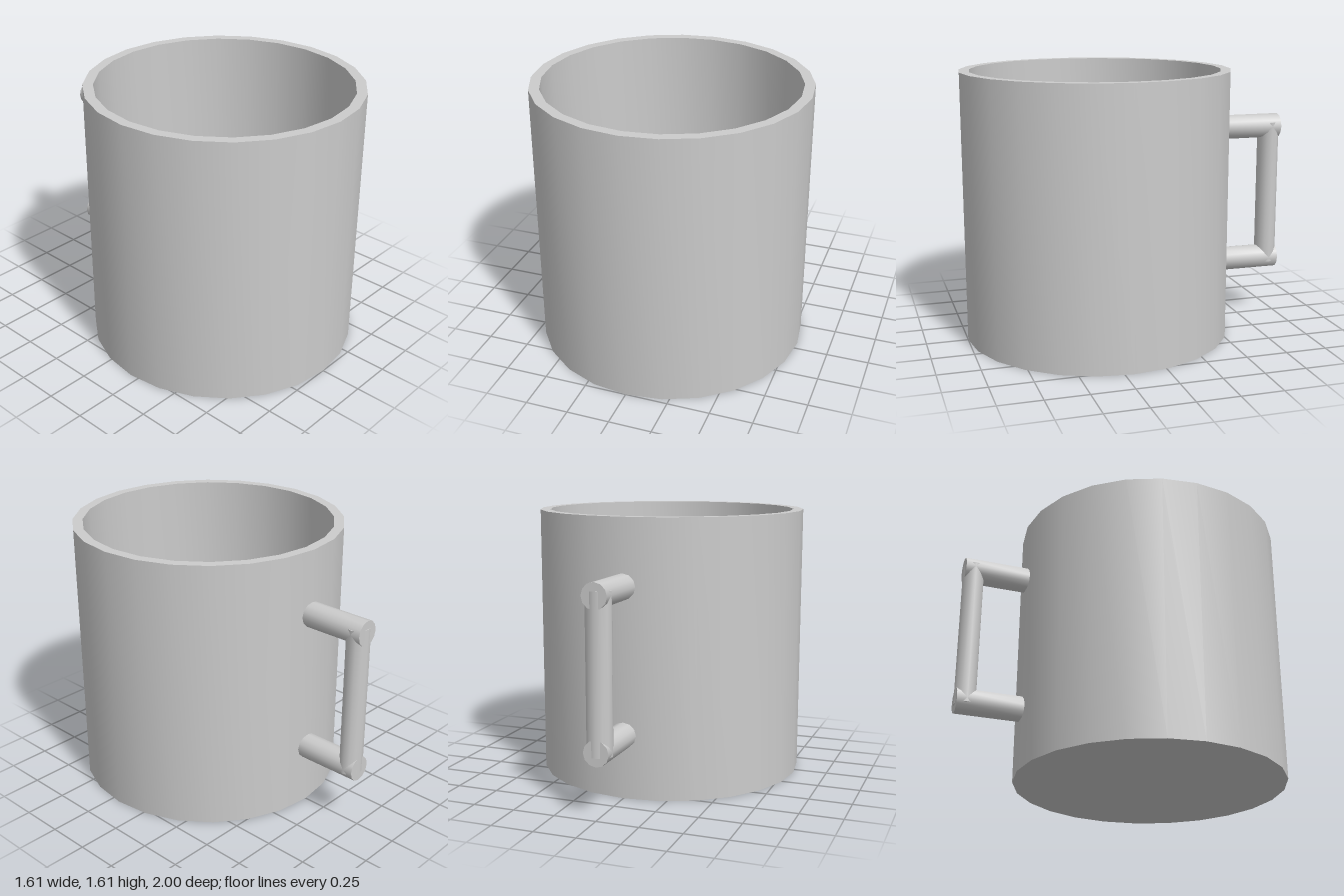
import * as THREE from 'three';
import { toCreasedNormals } from 'three/addons/utils/BufferGeometryUtils.js';

const RADIUS = 0.805, INNER = 0.745, HEIGHT = 1.61, FLOOR = 0.08;
const CENTRE_Z = 0.195;
const BAR = 0.075;

export function createModel() {
  const group = new THREE.Group();
  const material = new THREE.MeshStandardMaterial({ color: 0xcccccc });

  function add(name, geometry, x, y, z) {
    const mesh = new THREE.Mesh(toCreasedNormals(geometry, 0.8), material);
    mesh.name = name;
    mesh.position.set(x, y, z);
    group.add(mesh);
    return mesh;
  }

  // Cup: base, outer wall, flat rim, inner wall and floor in one profile
  const profile = [
    [0, 0], [RADIUS, 0], [RADIUS, HEIGHT],
    [INNER, HEIGHT], [INNER, FLOOR], [0, FLOOR],
  ].map(([r, y]) => new THREE.Vector2(r, y));
  add('cup', new THREE.LatheGeometry(profile, 24), 0, 0, CENTRE_Z);

  // Handle: two horizontal bars running from inside the wall to the grip
  const zFront = -0.57, zBack = -0.99;
  for (const [name, y] of [['handleTop', 1.225], ['handleBottom', 0.375]]) {
    const bar = new THREE.CylinderGeometry(BAR, BAR, zFront - zBack, 12);
    bar.rotateX(Math.PI / 2);
    add(name, bar, 0, y, (zFront + zBack) / 2);
  }

  // Grip: upright bar, slightly flattened front to back
  const grip = new THREE.CylinderGeometry(BAR, BAR, 0.9, 12);
  grip.scale(1, 1, 0.85);
  add('handleGrip', grip, 0, 0.8, -0.932);

  return group;
}
